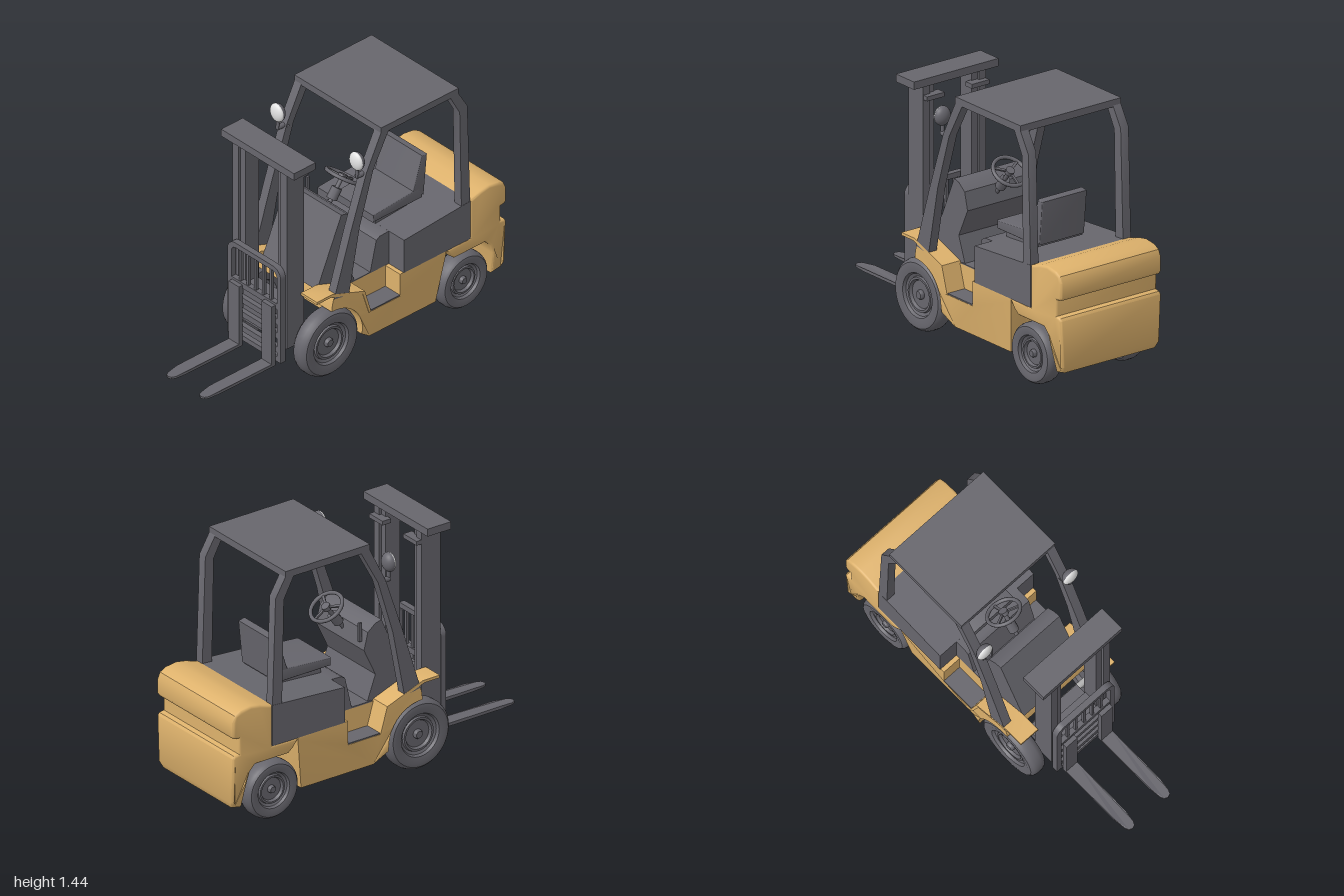
import * as THREE from 'three';
import { toCreasedNormals } from 'three/addons/utils/BufferGeometryUtils.js';

const material = (name, color, side = THREE.FrontSide) => {
  const m = new THREE.MeshStandardMaterial({ color, side });
  m.name = name;
  return m;
};

export function createModel() {
  const root = new THREE.Group();
  root.name = 'forklift';
  const grey = material('darkGrey', 0x67666d);
  const tan = material('tan', 0xdeb26c, THREE.DoubleSide);
  const steel = material('lightSteel', 0xb4b4b4);
  const lens = material('lampLens', 0xe2e2e2);

  const add = (name, geo, mat, x = 0, y = 0, z = 0) => {
    const mesh = new THREE.Mesh(geo, mat);
    mesh.name = name;
    mesh.position.set(x, y, z);
    root.add(mesh);
    return mesh;
  };
  // Box given by its min and max on each axis
  const box = (name, mat, x0, x1, y0, y1, z0, z1) =>
    add(name, new THREE.BoxGeometry(x1 - x0, y1 - y0, z1 - z0), mat, (x0 + x1) / 2, (y0 + y1) / 2, (z0 + z1) / 2);
  // Side profile swept from z0 to z1; taper draws the lower edge inwards
  const sweep = (name, mat, pts, z0, z1, bevel = 0, taper = 0) => {
    const shape = new THREE.Shape(pts.map(([x, y]) => new THREE.Vector2(x, y)));
    let geo = new THREE.ExtrudeGeometry(shape, {
      depth: z1 - z0 - 2 * bevel, bevelEnabled: bevel > 0, bevelSize: bevel,
      bevelThickness: bevel, bevelOffset: -bevel, bevelSegments: 3,
    });
    geo.translate(0, 0, z0 + bevel);
    const p = geo.attributes.position;
    for (let i = 0; i < p.count; i++) p.setZ(i, p.getZ(i) * (1 - taper * Math.max(0, 0.2 - p.getY(i))));
    geo = toCreasedNormals(geo, 0.6);
    return add(name, geo, mat);
  };
  // Round bar between two points
  const rod = (name, mat, a, b, r, sides = 12) => {
    const from = new THREE.Vector3(...a), to = new THREE.Vector3(...b);
    const dir = to.clone().sub(from);
    const m = add(name, new THREE.CylinderGeometry(r, r, dir.length(), sides), mat);
    m.position.copy(from).addScaledVector(dir, 0.5);
    m.quaternion.setFromUnitVectors(new THREE.Vector3(0, 1, 0), dir.normalize());
    return m;
  };
  const bothSides = (fn) => [1, -1].forEach(fn);
  const span = (s, a, b) => (s > 0 ? [a, b] : [-b, -a]);

  // Lower body: centre section plus sides notched for the steps
  const arch = [];
  for (let i = 0; i <= 12; i++) {
    const a = THREE.MathUtils.degToRad(-8 + i * 100 / 12);
    arch.push([-0.243 + 0.215 * Math.cos(a), 0.21 + 0.215 * Math.sin(a)]);
  }
  const sill = [[0.57, 0.44], [0.57, 0.42], [0.525, 0.117], [0.05, 0.117]];
  const nose = [[-0.245, 0.47], [-0.23, 0.52], [-0.02, 0.44]];
  sweep('bodyCentre', tan, [...sill, ...arch, ...nose], -0.22, 0.22);
  bothSides((s) => {
    sweep('bodySide', tan, [...sill, ...arch, ...nose, [0.02, 0.3], [0.24, 0.3], [0.24, 0.44]], ...span(s, 0.22, 0.335), 0, 1.2);
    box('step', grey, 0.02, 0.24, 0.298, 0.307, ...span(s, 0.22, 0.333));
    // Fender lip running down to the step
    sweep('fender', tan, [[-0.36, 0.522], [-0.26, 0.522], [-0.03, 0.44], [0.015, 0.3], [0.03, 0.3], [-0.015, 0.452], [-0.25, 0.538], [-0.36, 0.538]], ...span(s, 0.215, 0.339));
  });
  box('floorMat', grey, 0, 0.2, 0.438, 0.446, -0.22, 0.22);

  // Counterweight with rear groove and wheel arch
  sweep('counterweight', tan, [
    [0.74, 0.68], [0.82, 0.705], [0.88, 0.715], [0.95, 0.705], [0.985, 0.685], [1, 0.65],
    [1, 0.565], [0.99, 0.55], [0.96, 0.545], [0.96, 0.455], [0.99, 0.45], [1, 0.435],
    [1, 0.17], [0.985, 0.135], [0.92, 0.12], [0.905, 0.27], [0.885, 0.33], [0.85, 0.365],
    [0.63, 0.365], [0.6, 0.39], [0.565, 0.44], [0.74, 0.445],
  ], -0.34, 0.34, 0.015, 1.2);

  // Engine cover
  sweep('engineCover', grey, [[0.265, 0.44], [0.74, 0.44], [0.74, 0.68], [0.265, 0.648]], -0.339, 0.339);
  sweep('engineCoverFront', grey, [[0.13, 0.44], [0.27, 0.44], [0.27, 0.648], [0.2, 0.645], [0.175, 0.63]], -0.22, 0.22);

  // Seat
  sweep('seatBase', grey, [[0.26, 0.64], [0.52, 0.64], [0.52, 0.695], [0.26, 0.695]], -0.12, 0.12);
  sweep('seatCushion', grey, [[0.215, 0.688], [0.57, 0.688], [0.57, 0.76], [0.5, 0.757], [0.215, 0.735]], -0.15, 0.15, 0.006);
  sweep('seatBack', grey, [[0.5, 0.75], [0.58, 0.7], [0.605, 0.95], [0.565, 0.957]], -0.15, 0.15, 0.006);

  // Dashboard cowl
  sweep('cowl', grey, [[-0.245, 0.5], [-0.1, 0.44], [0.025, 0.44], [-0.03, 0.59], [0.045, 0.75], [0.02, 0.85], [-0.03, 0.89], [-0.07, 0.9]], -0.213, 0.213);
  box('controlLever', grey, 0.035, 0.055, 0.79, 0.9, -0.182, -0.17);

  // Steering wheel and column
  rod('steeringColumn', grey, [0, 0.77, 0], [0.135, 0.95, 0], 0.012);
  rod('columnJoint', grey, [0.055, 0.84, 0], [0.095, 0.895, 0], 0.03, 8);
  const steering = new THREE.Group();
  steering.name = 'steeringWheel';
  steering.position.set(0.135, 0.95, 0);
  steering.rotation.z = -0.61;
  const rim = new THREE.Mesh(new THREE.TorusGeometry(0.095, 0.011, 8, 32).rotateX(Math.PI / 2), grey);
  rim.name = 'rim';
  const hub = new THREE.Mesh(new THREE.CylinderGeometry(0.025, 0.025, 0.025, 16), grey);
  hub.name = 'steeringHub';
  steering.add(rim, hub);
  for (let i = 0; i < 3; i++) {
    const a = i * Math.PI * 2 / 3;
    const spoke = new THREE.Mesh(new THREE.BoxGeometry(0.095, 0.01, 0.014).translate(0.0475, 0, 0), grey);
    spoke.name = 'spoke';
    spoke.rotation.y = a;
    steering.add(spoke);
  }
  root.add(steering);

  // Overhead guard
  box('roof', grey, 0.1, 0.655, 1.402, 1.443, -0.34, 0.34);
  bothSides((s) => {
    sweep('frontPillar', grey, [[-0.235, 0.5], [-0.13, 0.48], [-0.052, 0.88], [0.045, 1.2], [0.16, 1.41], [0.1, 1.41], [-0.005, 1.2], [-0.115, 0.88]], ...span(s, 0.285, 0.338));
    sweep('rearPillar', grey, [[0.595, 1.41], [0.655, 1.41], [0.72, 1.3], [0.74, 0.675], [0.677, 0.675], [0.665, 1.28]], ...span(s, 0.285, 0.338));

    // Headlamp on its bracket
    const z = 0.31 * s;
    const shell = new THREE.SphereGeometry(0.05, 24, 12, 0, Math.PI * 2, 0, Math.PI / 2).rotateZ(-Math.PI / 2);
    add('lampShell', shell.scale(0.8, 1.1, 1), grey, -0.05, 1.285, z);
    const face = new THREE.SphereGeometry(0.05, 24, 12, 0, Math.PI * 2, 0, Math.PI / 2).rotateZ(Math.PI / 2);
    add('lampLens', face.scale(0.5, 1.1, 1), lens, -0.05, 1.285, z);
    rod('lampStalk', grey, [-0.045, 1.18, z], [-0.045, 1.24, z], 0.01);
    rod('lampArm', grey, [-0.05, 1.187, z], [0.02, 1.187, z], 0.015);
    add('lampPivot', new THREE.SphereGeometry(0.02, 12, 8).scale(0.8, 0.8, 1.5), grey, 0.005, 1.187, z);
  });

  // Mast
  bothSides((s) => {
    box('mastOuterRail', grey, -0.46, -0.335, 0.22, 1.35, ...span(s, 0.165, 0.212));
    box('mastInnerRail', grey, -0.445, -0.35, 0.22, 1.35, ...span(s, 0.127, 0.17));
    box('mastStop', grey, -0.36, -0.303, 1.265, 1.29, ...span(s, 0.092, 0.21));
  });
  box('mastTop', grey, -0.475, -0.32, 1.343, 1.387, -0.285, 0.285);
  for (const y of [0.24, 0.42]) box('mastCrossbar', grey, -0.43, -0.36, y, y + 0.05, -0.15, 0.15);
  box('mastMount', grey, -0.36, -0.235, 0.19, 0.24, -0.18, 0.18);

  // Load backrest: rounded frame, upper bars and lower rungs
  const frame = new THREE.Shape();
  const outline = (path, w, y0, y1, r) => {
    path.moveTo(-w, y0);
    path.lineTo(w, y0);
    path.lineTo(w, y1 - r);
    path.absarc(w - r, y1 - r, r, 0, Math.PI / 2);
    path.absarc(r - w, y1 - r, r, Math.PI / 2, Math.PI);
    path.lineTo(-w, y0);
  };
  outline(frame, 0.208, 0.145, 0.74, 0.06);
  const opening = new THREE.Path();
  outline(opening, 0.178, 0.175, 0.71, 0.035);
  frame.holes.push(opening);
  add('backrestFrame', new THREE.ExtrudeGeometry(frame, { depth: 0.035, bevelEnabled: false, curveSegments: 6 }).rotateY(Math.PI / 2), grey, -0.5, 0, 0);
  for (let i = -2; i <= 2; i++) box('backrestBar', grey, -0.492, -0.474, 0.5, 0.72, i * 0.06 - 0.008, i * 0.06 + 0.008);
  for (const y of [0.2, 0.29, 0.38, 0.475]) box('carriageRung', grey, -0.498, -0.467, y, y + 0.035, -0.19, 0.19);
  box('carriageLink', grey, -0.47, -0.42, 0.25, 0.45, -0.12, 0.12);

  // Forks: tapered blade and upright shank
  bothSides((s) => {
    const blade = new THREE.Shape([[-0.505, -0.04], [-0.505, 0.04], [-0.9, 0.038], [-0.97, 0.03], [-0.992, 0.02], [-1, 0], [-0.992, -0.02], [-0.97, -0.03], [-0.9, -0.038]].map((p) => new THREE.Vector2(...p)));
    const geo = new THREE.ExtrudeGeometry(blade, { depth: 0.018, bevelEnabled: false }).rotateX(-Math.PI / 2);
    const p = geo.attributes.position;
    for (let i = 0; i < p.count; i++) if (p.getX(i) < -0.95 && p.getY(i) > 0.01) p.setY(i, 0.012);
    geo.computeVertexNormals();
    add('forkBlade', geo, grey, 0, 0.114, 0.128 * s);
    box('forkShank', grey, -0.528, -0.502, 0.114, 0.5, ...span(s, 0.088, 0.168));
  });

  // Wheels: tyre and dished hub turned as one profile, scaled by radius
  const wheel = (name, x, y, r, s) => {
    const profile = [
      [0.001, 0.04], [0.1, 0.04], [0.13, 0.03], [0.13, 0.018], [0.38, 0.018], [0.42, 0.034],
      [0.48, 0.034], [0.5, 0.022], [0.58, 0.03], [0.62, 0.046], [0.8, 0.053], [0.9, 0.05],
      [0.97, 0.036], [1, 0.018], [1, -0.018], [0.97, -0.036], [0.9, -0.05], [0.8, -0.053],
      [0.6, -0.045], [0.56, -0.02], [0.001, -0.02],
    ].map(([a, b]) => new THREE.Vector2(a * r, b)).reverse();
    const geo = toCreasedNormals(new THREE.LatheGeometry(profile, 40), 0.6).rotateX(s * Math.PI / 2);
    add(name, geo, grey, x, y, 0.278 * s);
  };
  for (const [name, x, y, r] of [['front', -0.243, 0.212, 0.202], ['rear', 0.72, 0.168, 0.168]]) {
    bothSides((s) => wheel(name + 'Wheel', x, y, r, s));
    rod(name + 'Axle', steel, [x, y, -0.27], [x, y, 0.27], 0.018, 16);
  }
  return root;
}
